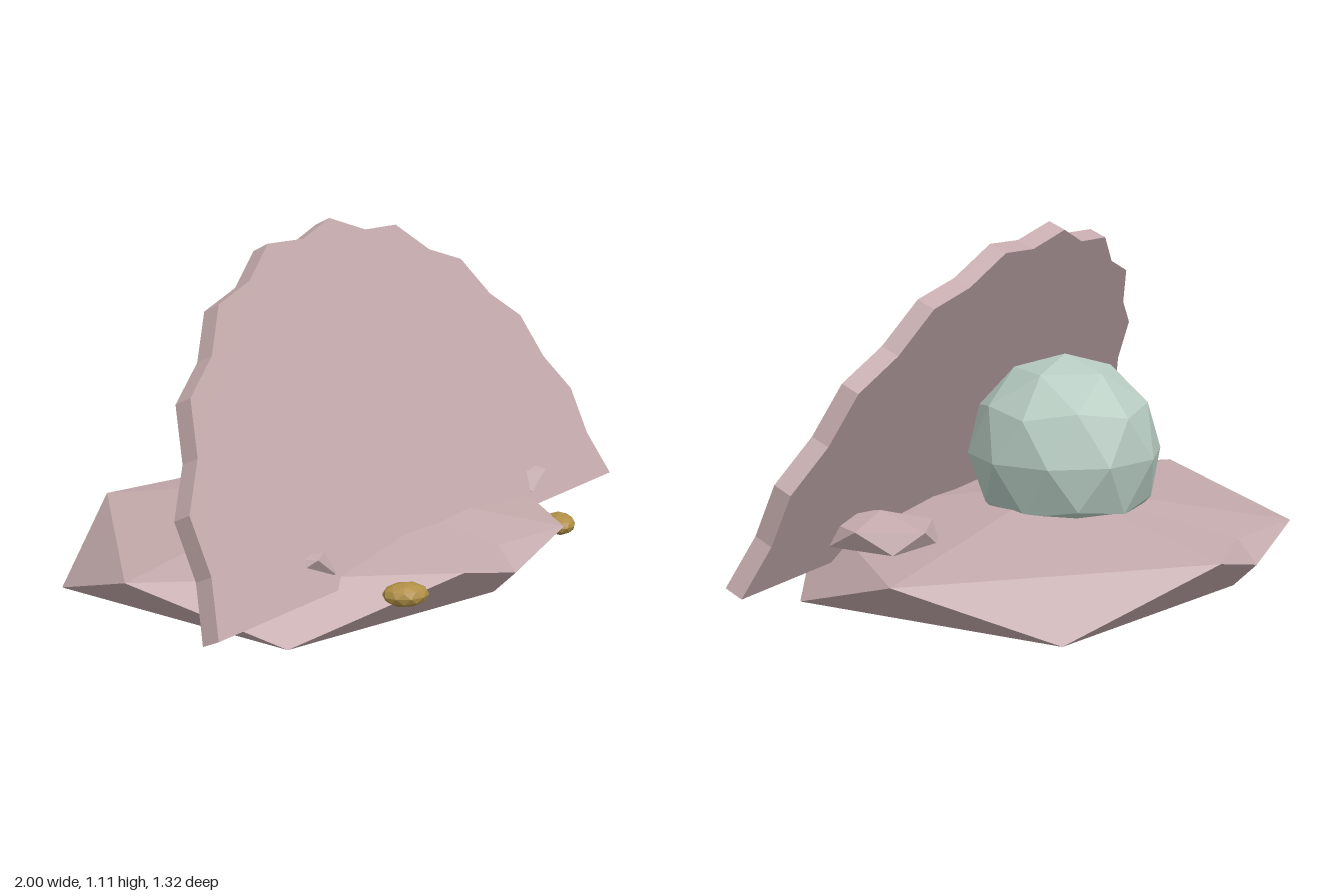
import * as THREE from 'three';

const flat = (name, color) => {
  const m = new THREE.MeshStandardMaterial({ color, flatShading: true });
  m.name = name;
  return m;
};

// Mirrored copy of a non-indexed geometry, with the corner order kept outward
function mirrored(geo, axis) {
  const p = geo.attributes.position;
  const order = [0, 2, 1];
  const out = [];
  for (let i = 0; i < p.count; i++) {
    const j = i - (i % 3) + order[i % 3];
    const v = [p.getX(j), p.getY(j), p.getZ(j)];
    v[axis] *= -1;
    out.push(...v);
  }
  const g = new THREE.BufferGeometry();
  g.setAttribute('position', new THREE.Float32BufferAttribute(out, 3));
  g.computeVertexNormals();
  return g;
}

// Faceted ball with a corner at each pole
function facetedBall(detail) {
  return new THREE.IcosahedronGeometry(1, detail)
    .rotateZ(Math.atan2(2, 1 + Math.sqrt(5)))
    .rotateY(Math.PI);
}

// One quarter of the lower shell (+x, +z)
function shellQuarter() {
  const hi = 0.23, lo = 0.09;
  const v = {
    top: [0, 0.32, 0], bottom: [0, 0, 0],
    side: [0.875, hi, 0], front: [0.27, hi, 0.66],
    low: [0.71, lo, 0.41], lowMid: [0.71, lo, 0],
    seamTop: [0, hi, 0.6], seamMid: [0, 0.16, 0.66], seamLow: [0, lo, 0.59],
  };
  const faces = [
    'top front side', 'top seamTop front', 'side front low', 'side low lowMid',
    'front seamMid seamLow', 'front seamLow low', 'front seamTop seamMid',
    'bottom low seamLow', 'bottom lowMid low',
  ];
  const pos = faces.flatMap(f => f.split(' ').flatMap(n => v[n]));
  const g = new THREE.BufferGeometry();
  g.setAttribute('position', new THREE.Float32BufferAttribute(pos, 3));
  g.computeVertexNormals();
  return g;
}

export function createModel() {
  const root = new THREE.Group();
  root.name = 'clam';
  const shellPink = flat('shellPink', 0xc4aaac);
  const pearlGreen = flat('pearlGreen', 0xb6cbc1);
  const gold = flat('gold', 0xb08f46);

  const add = (name, geo, mat, parent = root) => {
    const mesh = new THREE.Mesh(geo, mat);
    mesh.name = name;
    parent.add(mesh);
    return mesh;
  };

  // Lower shell, four mirrored quarters
  const lower = new THREE.Group();
  lower.name = 'lowerShell';
  root.add(lower);
  const quarter = shellQuarter();
  const back = mirrored(quarter, 2);
  add('lowerShellFrontLeft', quarter, shellPink, lower);
  add('lowerShellBackLeft', back, shellPink, lower);
  add('lowerShellFrontRight', mirrored(quarter, 0), shellPink, lower);
  add('lowerShellBackRight', mirrored(back, 0), shellPink, lower);

  // Upper shell: a scalloped half disc, leaning back
  const pts = [];
  for (let i = 0; i <= 20; i++) {
    const a = (i * Math.PI) / 20, r = i % 2 ? 0.962 : 1;
    pts.push(new THREE.Vector2(r * Math.cos(a), r * Math.sin(a)));
  }
  const upper = add('upperShell', new THREE.ExtrudeGeometry(new THREE.Shape(pts),
    { depth: 0.056, bevelEnabled: false }), shellPink);
  upper.rotation.x = -THREE.MathUtils.degToRad(25);
  upper.position.set(0, 0.179, 0.379);

  // Pearl
  add('pearl', facetedBall(1).scale(0.29, 0.29, 0.29).translate(0, 0.432, -0.045), pearlGreen);

  // Hinge lumps and gold beads, in pairs
  const lump = facetedBall(0).scale(0.14, 0.065, 0.2).translate(0.55, 0.27, 0.245);
  const bead = facetedBall(1).scale(0.064, 0.032, 0.048).rotateY(0.65).translate(0.41, 0.19, 0.567);
  add('leftLump', lump, shellPink);
  add('rightLump', mirrored(lump, 0), shellPink);
  add('leftBead', bead, gold);
  add('rightBead', mirrored(bead, 0), gold);

  return root;
}
